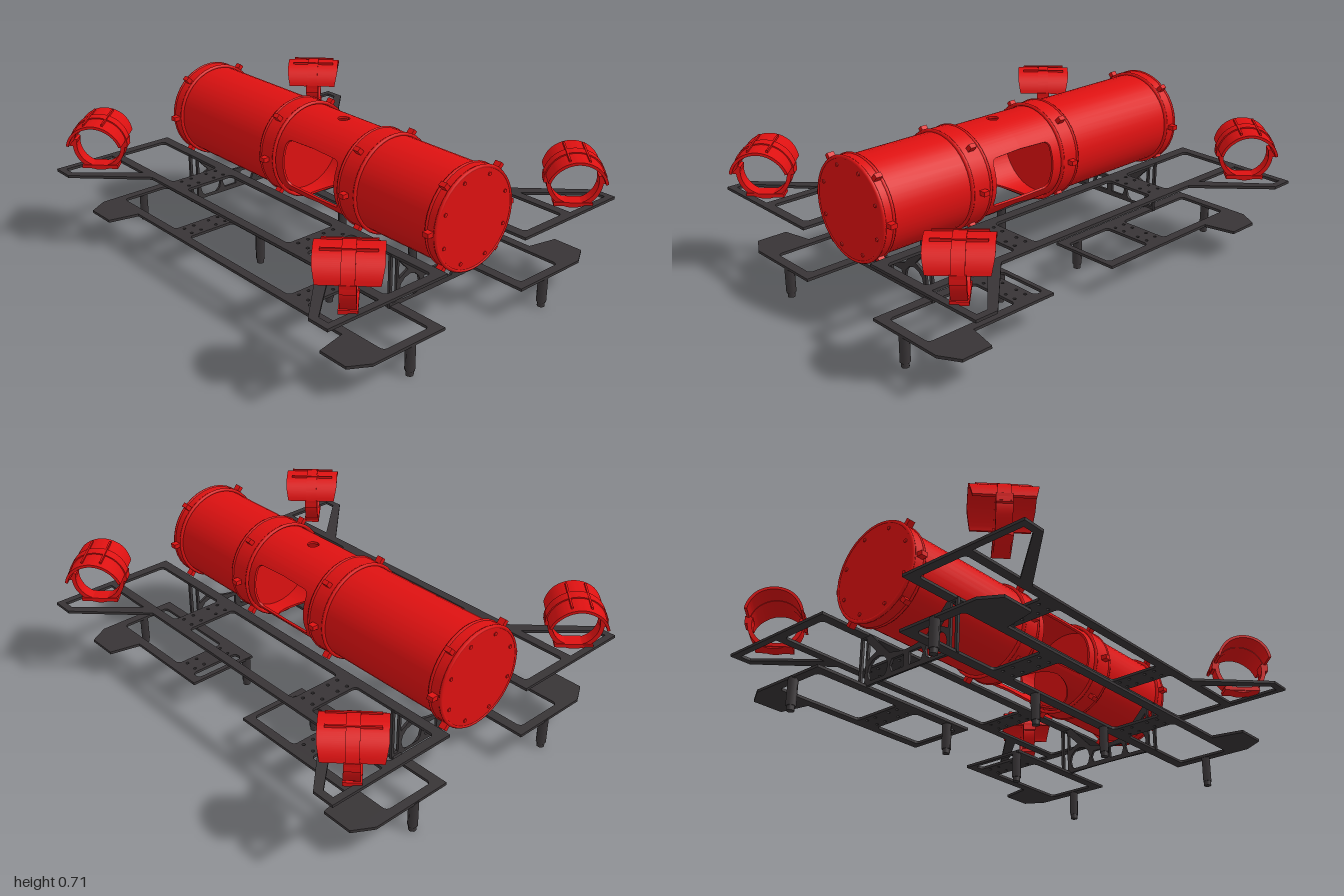
import * as THREE from 'three';
import { toCreasedNormals } from 'three/addons/utils/BufferGeometryUtils.js';

const RED = new THREE.MeshStandardMaterial({ color: 0xdd1111, side: THREE.DoubleSide });
const DARK = new THREE.MeshStandardMaterial({ color: 0x383436 });
const AXIS_Y = 0.495;

function add(parent, name, geometry, material, x = 0, y = 0, z = 0) {
  const mesh = new THREE.Mesh(geometry, material);
  mesh.name = name;
  mesh.position.set(x, y, z);
  parent.add(mesh);
  return mesh;
}

const poly = (pts, Kind = THREE.Path) => new Kind(pts.map(([a, b]) => new THREE.Vector2(a, b)));

function circle(x, y, r) {
  return new THREE.Path().absarc(x, y, r, 0, Math.PI * 2, false);
}

// Rectangular cut-out with rounded corners
function roundRect(x0, y0, x1, y1, r = 0.02) {
  const p = new THREE.Path();
  p.absarc(x1 - r, y1 - r, r, 0, Math.PI / 2, false);
  p.absarc(x0 + r, y1 - r, r, Math.PI / 2, Math.PI, false);
  p.absarc(x0 + r, y0 + r, r, Math.PI, Math.PI * 1.5, false);
  p.absarc(x1 - r, y0 + r, r, Math.PI * 1.5, Math.PI * 2, false);
  return p;
}

function extrude(shape, depth) {
  return new THREE.ExtrudeGeometry(shape, { depth, bevelEnabled: false, curveSegments: 6 });
}

// Horizontal sheet on the +z or -z side
function sheet(parent, name, outline, holes, y, side) {
  const shape = poly(outline, THREE.Shape);
  shape.holes.push(...holes);
  const flat = extrude(shape, 0.012).rotateX(Math.PI / 2);
  const mesh = add(parent, name, flat, DARK, 0, y, 0);
  if (side < 0) {
    mesh.geometry.rotateX(Math.PI).translate(0, -0.012, 0);
  }
  return mesh;
}

// Bolt holes through a cross bar
function boltHoles(x) {
  const list = [];
  for (const z of [0.29, 0.34, 0.42, 0.47])
    for (const dx of [-0.028, 0.028]) list.push(circle(x + dx, z, 0.007));
  return list;
}

const bays = [[-0.87, -0.45], [-0.345, 0.335], [0.44, 0.87]];
const bolts = () => [...boltHoles(-0.398), ...boltHoles(0.388)];

function upperFrame(parent, side) {
  const outline = [[-0.91, 0.22], [0.91, 0.22], [0.91, 0.805], [0.81, 0.805], [0.55, 0.54],
    [-0.55, 0.54], [-0.81, 0.805], [-0.91, 0.805]];
  const holes = [...bays.map(([a, b]) => roundRect(a, 0.265, b, 0.5)), ...bolts()];
  for (const s of [-1, 1])
    holes.push(poly([[0.62, 0.54], [0.83, 0.775], [0.88, 0.775], [0.88, 0.54]].map(([x, z]) => [s * x, z])));
  sheet(parent, 'upperFrame', outline, holes, 0.372, side);
}

function lowerFrame(parent, side) {
  const tab = [[0.91, 0.59], [0.86, 0.675], [0.72, 0.675], [0.69, 0.54]];
  const mirrorTab = tab.map(([x, z]) => [-x, z]).reverse();
  if (side > 0) {
    sheet(parent, 'lowerFrame', [[-0.91, 0.22], [0.91, 0.22], ...tab, ...mirrorTab],
      [...bays.map(([a, b]) => roundRect(a, 0.265, b, 0.5)), ...bolts()], 0.145, side);
    return;
  }
  // The rear frame is split by a gap in the middle
  sheet(parent, 'lowerFrameRight', [[-0.91, 0.22], [-0.07, 0.22], [-0.07, 0.54], ...mirrorTab],
    [roundRect(-0.87, 0.265, -0.45, 0.5), roundRect(-0.345, 0.265, -0.095, 0.5), ...boltHoles(-0.398)], 0.145, side);
  sheet(parent, 'lowerFrameLeft', [[0.27, 0.22], [0.91, 0.22], ...tab, [0.27, 0.54]],
    [roundRect(0.44, 0.265, 0.87, 0.5), roundRect(0.29, 0.265, 0.335, 0.5), ...boltHoles(0.388)], 0.145, side);
}

// Upright cradle plate joining both frames beneath the hull
function cradle(parent, x) {
  const s = new THREE.Shape();
  s.moveTo(-0.27, 0.135);
  s.quadraticCurveTo(0, 0.148, 0.27, 0.135);
  s.lineTo(0.27, 0.367).lineTo(0.215, 0.367).lineTo(0.1, 0.25);
  s.quadraticCurveTo(0, 0.215, -0.1, 0.25);
  s.lineTo(-0.215, 0.367).lineTo(-0.27, 0.367);
  for (const m of [-1, 1]) {
    const cut = (pts) => s.holes.push(poly(pts.map(([a, b]) => [m * a, b])));
    cut([[0.233, 0.155], [0.257, 0.155], [0.257, 0.353], [0.233, 0.353]]);
    cut([[0.222, 0.328], [0.222, 0.25], [0.172, 0.275]]);
    cut([[0.015, 0.16], [0.08, 0.16], [0.092, 0.19], [0.08, 0.215], [0.015, 0.215]]);
    s.holes.push(circle(m * 0.16, 0.195, 0.057));
  }
  add(parent, 'cradle', extrude(s, 0.012).translate(0, 0, -0.006).rotateY(Math.PI / 2), DARK, x);
}

function leg(parent, x, z) {
  add(parent, 'leg', new THREE.CylinderGeometry(0.021, 0.021, 0.12, 6), DARK, x, 0.08, z);
  add(parent, 'foot', new THREE.CylinderGeometry(0.016, 0.016, 0.03, 12), DARK, x, 0.015, z);
}

// Round section along x
function drum(parent, name, x0, x1, r, open = false) {
  const g = new THREE.CylinderGeometry(r, r, x1 - x0, 40, 1, open).rotateZ(Math.PI / 2);
  return add(parent, name, g, RED, (x0 + x1) / 2, AXIS_Y, 0);
}

// Raised band with clamp lugs
function collar(parent, x0, x1) {
  const mid = (x0 + x1) / 2;
  drum(parent, 'collar', x0, x1, 0.213, true);
  for (const edge of [x0, x1]) {
    const ring = new THREE.TorusGeometry(0.209, 0.008, 6, 40).rotateY(Math.PI / 2);
    add(parent, 'collarRim', ring, RED, edge, AXIS_Y, 0);
  }
  for (const deg of [0, 49, 131, 180, 229, 311]) {
    const lug = new THREE.BoxGeometry(0.03, 0.02, 0.028).translate(0, 0, 0.226);
    add(parent, 'lug', lug.rotateX(-deg * Math.PI / 180), RED, mid, AXIS_Y, 0);
  }
}

// Half width of the opening at an angle round the middle section
function opening(a, R) {
  const v = R * Math.sin(a), z = R * Math.cos(a), h = Math.abs(v);
  if (h < 0.105) {
    const c = Math.max(0, h - 0.08);
    return 0.16 - 0.025 + Math.sqrt(0.025 ** 2 - c * c);
  }
  if (v < 0 && Math.abs(z) < 0.14) return 0.18 * Math.sqrt(1 - (z / 0.14) ** 2);
  if (v > 0 && Math.abs(z) < 0.025) return Math.sqrt(0.025 ** 2 - z * z);
  return 0;
}

// Middle section with side windows, a vent on top and an opening below
function windowSection(parent) {
  const R = 0.2, r = 0.19, N = 240, cx = 0.1, pos = [];
  const pt = (x, a, q) => [x, q * Math.sin(a), q * Math.cos(a)];
  const quad = (a, b, c, d) => pos.push(...a, ...b, ...c, ...a, ...c, ...d);
  for (let i = 0; i < N; i++) {
    const a = (i / N) * Math.PI * 2, b = ((i + 1) / N) * Math.PI * 2;
    const ha = opening(a, R), hb = opening(b, R);
    for (const s of [-1, 1]) {
      const end = s < 0 ? -0.15 : 0.35, xa = cx + s * ha, xb = cx + s * hb;
      const [p, q, xp, xq] = s < 0 ? [a, b, xa, xb] : [b, a, xb, xa];
      quad(pt(end, q, R), pt(end, p, R), pt(xp, p, R), pt(xq, q, R));
      quad(pt(end, p, r), pt(end, q, r), pt(xq, q, r), pt(xp, p, r));
      if (ha + hb > 0) quad(pt(xq, q, R), pt(xp, p, R), pt(xp, p, r), pt(xq, q, r));
    }
  }
  const g = new THREE.BufferGeometry();
  g.setAttribute('position', new THREE.Float32BufferAttribute(pos, 3));
  add(parent, 'windowSection', toCreasedNormals(g, 0.6), RED, 0, AXIS_Y, 0);
}

// Arc-shaped band of given length, centred along z
function arcBand(inner, outer, from, to, length) {
  const s = new THREE.Shape();
  s.absarc(0, 0, outer, from, to, false);
  s.absarc(0, 0, inner, to, from, true);
  const g = new THREE.ExtrudeGeometry(s, { depth: length, bevelEnabled: false, curveSegments: 24 });
  return toCreasedNormals(g.translate(0, 0, -length / 2), 0.5);
}

// Thruster shroud: hood over a narrow ring on a foot
function shroud(parent, sx, sz) {
  const g = new THREE.Group();
  g.name = 'thrusterShroud';
  const rad = Math.PI / 180;
  const hood = arcBand(0.112, 0.124, 12 * rad, 168 * rad, 0.25);
  const p = hood.attributes.position;
  for (let i = 0; i < p.count; i++) p.setZ(i, p.getZ(i) * (0.86 + 0.14 * Math.min(1, p.getY(i) / 0.09)));
  add(g, 'hood', hood, RED);
  add(g, 'hoodBand', arcBand(0.11, 0.129, 0, Math.PI, 0.05), RED);
  add(g, 'ring', arcBand(0.098, 0.116, 165 * rad, 375 * rad, 0.06), RED);
  add(g, 'foot', new THREE.BoxGeometry(0.16, 0.016, 0.07), RED, 0, -0.1, 0);
  for (const s of [-1, 1]) {
    add(g, 'hoodLug', new THREE.BoxGeometry(0.02, 0.035, 0.06), RED, s * 0.118, 0.012, 0);
    add(g, 'hoodRib', new THREE.BoxGeometry(0.008, 0.01, 0.2), RED, s * 0.04, 0.121, 0);
  }
  g.position.set(sx * 0.822, 0.475, sz * 0.628);
  g.rotation.y = -sx * sz * Math.PI / 4;
  parent.add(g);
}

export function createModel() {
  const model = new THREE.Group();
  model.name = 'underwaterVehicle';

  // Hull
  drum(model, 'rearHull', -0.85, -0.15, 0.204);
  drum(model, 'frontHull', 0.35, 0.835, 0.204);
  windowSection(model);
  for (const [a, b] of [[-0.845, -0.79], [-0.195, -0.11], [0.3, 0.395], [0.785, 0.83]]) collar(model, a, b);
  for (const x of [-0.851, 0.836])
    for (let i = 0; i < 8; i++) {
      const a = (i + 0.5) * Math.PI / 4;
      const bolt = new THREE.CylinderGeometry(0.008, 0.008, 0.006, 8).rotateZ(Math.PI / 2);
      add(model, 'capBolt', bolt, RED, x, AXIS_Y + 0.18 * Math.sin(a), 0.18 * Math.cos(a));
    }

  // Frames, cradles, legs and shrouds
  for (const side of [-1, 1]) {
    upperFrame(model, side);
    lowerFrame(model, side);
    cradle(model, side * 0.657);
    for (const x of [-0.895, 0.89]) leg(model, x, side * 0.383);
    for (const x of [-0.175, 0.285]) leg(model, x, side * 0.245);
    for (const sx of [-1, 1]) shroud(model, sx, side);
  }
  return model;
}
